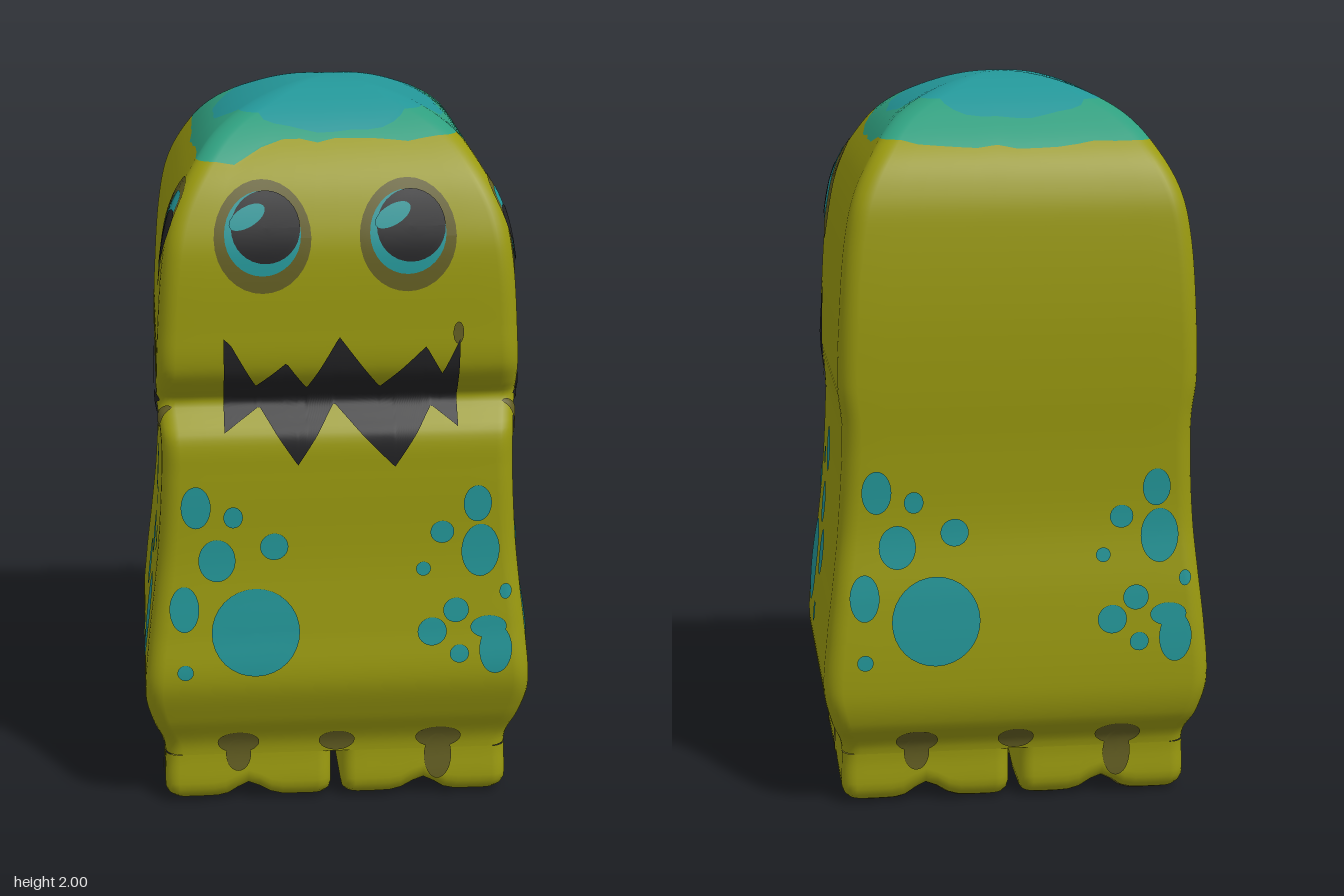
import * as THREE from 'three';

const mat = (name, color, side = THREE.DoubleSide) => {
  const m = new THREE.MeshStandardMaterial({ color, side });
  m.name = name;
  return m;
};
const lerp = THREE.MathUtils.lerp;

// Smooth 1D profile through [y, value] points; keyed by sqrt(2 - y) so the dome closes roundly
function profile(pts) {
  const p = pts.map(([y, v]) => [Math.sqrt(2 - y), v]).reverse();
  const slope = i => {
    const a = p[Math.max(i - 1, 0)], b = p[Math.min(i + 1, p.length - 1)];
    return (b[1] - a[1]) / (b[0] - a[0]);
  };
  return y => {
    const s = Math.min(Math.sqrt(Math.max(0, 2 - y)), p[p.length - 1][0]);
    let i = 0;
    while (i < p.length - 2 && s > p[i + 1][0]) i++;
    const h = p[i + 1][0] - p[i][0], t = (s - p[i][0]) / h, u = 1 - t;
    return p[i][1] * (1 + 2 * t) * u * u + slope(i) * h * t * u * u
      + p[i + 1][1] * t * t * (3 - 2 * t) - slope(i + 1) * h * t * t * u;
  };
}

// Half width, front depth and back depth by height
const wide = profile([[0, .47], [.05, .48], [.17, .48], [.25, .508], [.35, .53], [.5, .52], [.65, .502], [.8, .486],
  [1, .474], [1.1, .474], [1.2, .484], [1.4, .477], [1.58, .462], [1.7, .437], [1.8, .387], [1.9, .305], [1.98, .137], [2, 0]]);
const front = profile([[0, .33], [.05, .345], [.18, .345], [.28, .395], [.4, .437], [.55, .43], [.75, .42], [1, .425],
  [1.1, .42], [1.15, .385], [1.19, .36], [1.225, .385], [1.29, .422], [1.4, .43], [1.6, .428], [1.7, .403],
  [1.8, .355], [1.9, .26], [1.98, .118], [2, 0]]);
const back = profile([[0, -.3], [.05, -.31], [.17, -.318], [.25, -.375], [.35, -.4], [.6, -.402], [.8, -.39], [1, -.402],
  [1.2, -.422], [1.4, -.434], [1.6, -.432], [1.7, -.42], [1.8, -.375], [1.9, -.265], [1.98, -.122], [2, 0]]);
const radius = y => Math.min(.05, wide(y) * .25);

// Rounded-rectangle ring: core corner (cx, cz) plus outward direction (nx, nz)
const ring = [];
for (let k = 0; k < 4; k++) {
  const a = k * Math.PI / 2, n = [Math.sin(a), Math.cos(a)], t = [Math.cos(a), -Math.sin(a)];
  for (let i = 0; i <= 12; i++) {
    const f = i / 6 - 1;
    ring.push({ cx: n[0] + f * t[0], cz: n[1] + f * t[1], nx: n[0], nz: n[1] });
  }
  for (let i = 1; i <= 5; i++) {
    const b = a + i * Math.PI / 12;
    ring.push({ cx: n[0] + t[0], cz: n[1] + t[1], nx: Math.sin(b), nz: Math.cos(b) });
  }
}

// Grid of points to smooth geometry; columns may wrap round
function skin(rows, wrap) {
  const n = rows[0].length, idx = [];
  for (let j = 0; j < rows.length - 1; j++)
    for (let i = 0; i < (wrap ? n : n - 1); i++) {
      const a = j * n + i, b = j * n + (i + 1) % n;
      idx.push(a, b, b + n, a, b + n, a + n);
    }
  const g = new THREE.BufferGeometry();
  g.setAttribute('position', new THREE.Float32BufferAttribute(rows.flat(2), 3));
  g.setIndex(idx);
  g.computeVertexNormals();
  return g;
}

function bodyPoint(q, y) {
  const w = wide(y), zf = front(y), zb = back(y), r = radius(y);
  return [q.cx * (w - r) + q.nx * r, y, (zf + zb) / 2 + q.cz * ((zf - zb) / 2 - r) + q.nz * r];
}

// Point on one face of the body: h runs sideways, off lifts it clear of the skin
function facePoint(face, h, y, off) {
  const r = radius(y), zf = front(y), zb = back(y), w = wide(y);
  const across = face === 'front' || face === 'back';
  const mid = across ? 0 : (zf + zb) / 2, half = across ? w : (zf - zb) / 2;
  const l = Math.min(Math.abs(h - mid), half);
  const t = Math.max(0, (l - half + r) / r);
  const side = mid + Math.sign(h - mid) * (l + off * t);
  const drop = r * (1 - Math.sqrt(Math.max(0, 1 - t * t))) - off;
  if (face === 'front') return [side, y, zf - drop];
  if (face === 'back') return [-side, y, zb + drop];
  return [(face === 'left' ? 1 : -1) * (w - drop), y, side];
}

// Piecewise-linear edge of a painted shape
const edge = pts => x => {
  let i = 0;
  while (i < pts.length - 2 && x > pts[i + 1][0]) i++;
  return lerp(pts[i][1], pts[i + 1][1], (x - pts[i][0]) / (pts[i + 1][0] - pts[i][0]));
};

export function createModel() {
  const group = new THREE.Group();
  const olive = mat('olive skin', 0x9a9a0f, THREE.FrontSide), teal = mat('teal', 0x239698);
  const green = mat('sea green', 0x2f9f7f), brown = mat('brown', 0x635e22), black = mat('black', 0x222224);
  const add = (name, geo, material) => {
    const m = new THREE.Mesh(geo, material);
    m.name = name;
    group.add(m);
  };

  // Wavy borders of the coloured crown
  const capLow = q => {
    const a = Math.atan2(q.cx, q.cz);
    return 1.822 + .055 * Math.max(0, q.cz) ** 3 + .02 * (q.cx * q.cz) ** 2 * (q.cz < 0 ? 1 : 0)
      - .06 * Math.exp(-(((a + .72) / .12) ** 2)) + .004 * Math.sin(9 * a) + .003 * Math.sin(17 * a + 1);
  };
  const capHigh = q => 1.893 + .045 * (q.cx * q.cz) ** 2 + .003 * Math.sin(11 * Math.atan2(q.cx, q.cz));

  // Body and crown
  const bodyRows = [];
  for (let j = 0; j <= 100; j++) bodyRows.push(ring.map(q => bodyPoint(q, lerp(.15, 1.7, j / 100))));
  for (let j = 1; j <= 12; j++) bodyRows.push(ring.map(q => bodyPoint(q, lerp(1.7, capLow(q), j / 12))));
  add('body', skin(bodyRows, true), olive);
  const crown = (lo, hi, n) => skin(Array.from({ length: n + 1 }, (_, j) => ring.map(q => {
    const s = lerp(Math.sqrt(2 - lo(q)), Math.sqrt(2 - hi(q)), j / n);
    return bodyPoint(q, 2 - s * s);
  })), true);
  add('crownBand', crown(capLow, capHigh, 8), green);
  add('crown', crown(capHigh, () => 2, 20), teal);
  add('underside', skin([ring.map(() => [0, .15, 0]), bodyRows[0]], true), brown);

  // Feet with scalloped toes either side of a narrow slot
  const bump = (v, c, s) => Math.exp(-(((v - c) / s) ** 2));
  const sole = (x, z) => Math.max(.045 * bump(Math.abs(x), .245, .05), .025 * bump(z, -.04, .05));
  for (const sx of [1, -1]) {
    const footPoint = (q, y, s) => {
      const w = wide(y), zf = front(y), zb = back(y), r = .04, in0 = .014;
      return [sx * (w + in0) / 2 + s * (q.cx * ((w - in0) / 2 - r) + q.nx * r), y,
        (zf + zb) / 2 + s * (q.cz * ((zf - zb) / 2 - r) + q.nz * r)];
    };
    const row = (s, lift, t = 0) => ring.map(q => {
      const p = footPoint(q, .05, s);
      return footPoint(q, lerp(sole(p[0], p[2]) + lift, .15, t), s);
    });
    const walls = [row(.95, .012), row(.985, .026)];
    for (let j = 0; j <= 6; j++) walls.push(row(1, .045, j / 6));
    add('foot', skin(walls, true), olive);
    const under = [0, .15, .3, .45, .6, .75, .88].map(s => row(s, .002));
    add('sole', skin([...under, walls[0]], true), brown);
  }

  // Painted details that follow the skin
  const patch = (name, face, material, off, nu, nv, fn) => {
    const rows = [];
    for (let j = 0; j <= nv; j++) {
      rows.push([]);
      for (let i = 0; i <= nu; i++) rows[j].push(facePoint(face, ...fn(i / nu, j / nv), off));
    }
    add(name, skin(rows, false), material);
  };
  const disc = (name, face, material, [x, y, rx, ry = rx], off = .004, tilt = 0) =>
    patch(name, face, material, off, 32, 6, (u, v) => {
      const a = -u * Math.PI * 2, p = v * rx * Math.cos(a), q = v * ry * Math.sin(a);
      return [x + p * Math.cos(tilt) - q * Math.sin(tilt), y + p * Math.sin(tilt) + q * Math.cos(tilt)];
    });
  const jagged = (face, x0, x1, top, bottom) => {
    const hi = edge(top), lo = edge(bottom);
    patch('mouth', face, black, .005, 96, 30, (u, v) => {
      const x = lerp(x0, x1, u);
      return [x, lerp(lo(x), hi(x), v)];
    });
  };

  // Front eyes
  for (const x of [-.2, .18]) {
    disc('eyeSocket', 'front', brown, [x, 1.645, .127, .145], .003);
    disc('iris', 'front', teal, [x, 1.655, .1, .108], .005);
    disc('pupil', 'front', black, [x + .008, 1.672, .09, .092], .007);
    disc('eyeGlint', 'front', teal, [x - .04, 1.7, .052, .025], .009, .5);
  }
  // Front mouth
  jagged('front', -.305, .32,
    [[-.305, 1.38], [-.285, 1.36], [-.22, 1.24], [-.14, 1.31], [-.085, 1.23], [0, 1.38], [.11, 1.23], [.23, 1.35], [.275, 1.27], [.32, 1.37]],
    [[-.305, 1.115], [-.21, 1.175], [-.11, 1.025], [-.01, 1.18], [.15, 1.015], [.25, 1.17], [.32, 1.12]]);
  disc('mouthCorner', 'front', brown, [.315, 1.385, .014, .03]);

  // Side eyes and mouth corners
  for (const face of ['left', 'right']) {
    disc('sideEyeSocket', face, brown, [.315, 1.645, .075, .145], .003);
    disc('sideIris', face, teal, [.345, 1.655, .04, .105], .005);
    disc('sidePupil', face, black, [.37, 1.64, .028, .075], .007);
    jagged(face, .23, .345, [[.23, 1.31], [.25, 1.39], [.3, 1.29], [.345, 1.21]],
      [[.23, 1.07], [.26, 1.13], [.345, 1.19]]);
    disc('mouthStain', face, brown, [.36, 1.13, .012, .05]);
  }

  // Spots
  const faceSpots = [[-.385, .91, .04, .06], [-.285, .88, .026, .03], [-.33, .757, .05, .06], [-.175, .794, .038],
    [-.227, .55, .12, .125], [-.42, .62, .04, .065], [-.42, .44, .022], [.375, .905, .038, .052], [.28, .825, .032],
    [.385, .77, .052, .075], [.23, .72, .02], [.32, .6, .035], [.255, .54, .04], [.41, .55, .05, .032],
    [.43, .485, .045, .07], [.33, .475, .026], [.455, .65, .016, .022]];
  const sideSpots = [[.105, .925, .055, .065], [.23, .88, .026], [.165, .755, .055, .06], [.33, .795, .03, .035],
    [.28, .555, .095, .12], [.07, .63, .06, .065], [.107, .445, .03]];
  for (const face of ['front', 'back']) for (const s of faceSpots) disc('spot', face, teal, s);
  for (const face of ['left', 'right']) for (const s of sideSpots) disc('spot', face, teal, s);

  // Brown stains running down between the toes
  const stain = (face, x, w, y0) => {
    disc('toeStain', face, brown, [x, .19, w, .036]);
    disc('toeStain', face, brown, [x, (.2 + y0) / 2, w * .6, (.2 - y0) / 2]);
  };
  for (const face of ['front', 'back']) {
    stain(face, -.275, .058, .1);
    stain(face, .285, .064, .06);
    disc('toeStain', face, brown, [0, .188, .05, .033]);
  }
  for (const face of ['left', 'right']) {
    stain(face, .25, .034, .06);
    stain(face, -.015, .062, .06);
  }
  return group;
}
